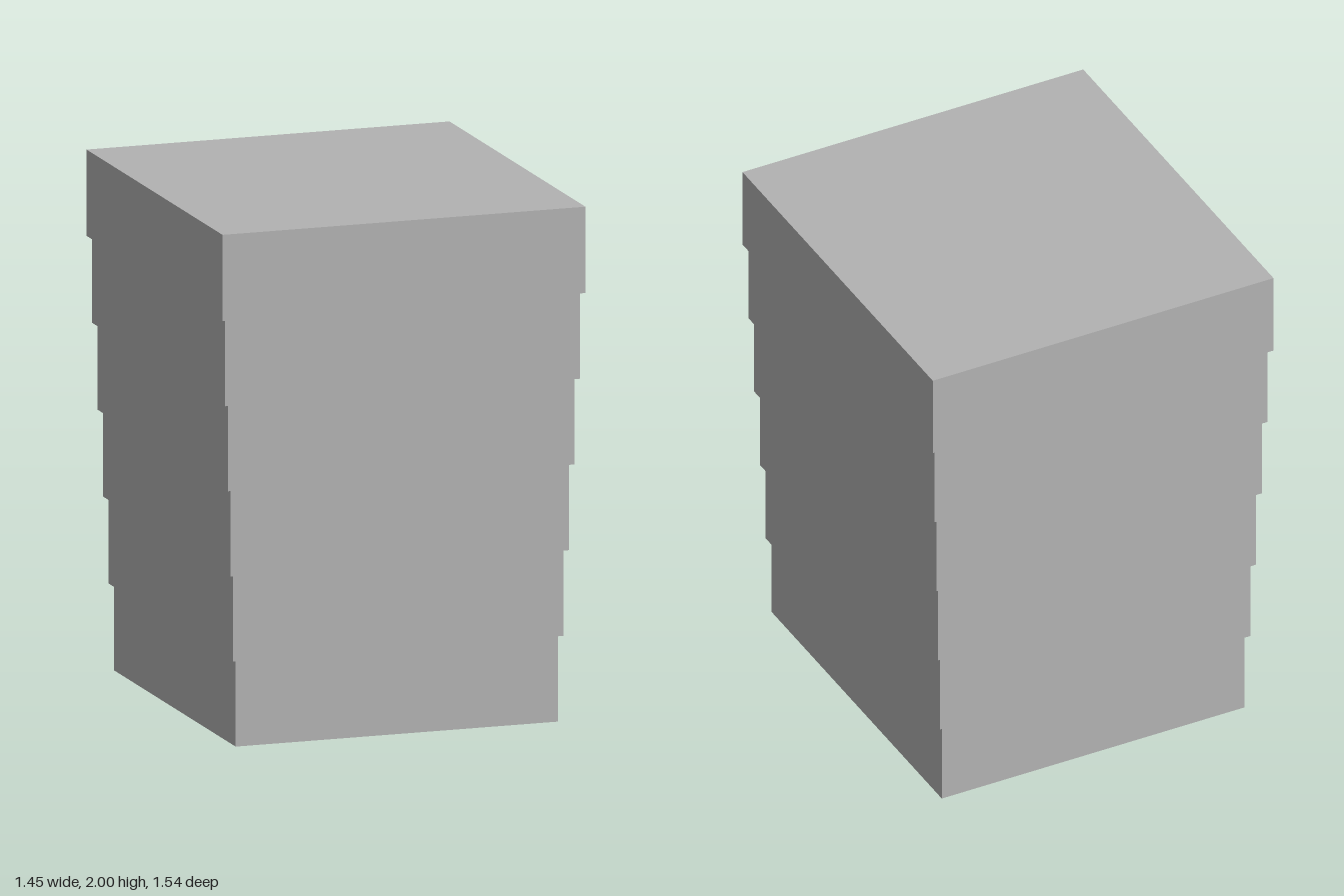
import * as THREE from 'three';

// Stack of six square-edged slabs, each a little wider than the one below
export function createModel() {
  const model = new THREE.Group();
  model.name = 'steppedBlock';
  const grey = new THREE.MeshStandardMaterial({ color: 0xb2b2b2 });
  grey.name = 'plain grey';

  const tiers = 6;
  const height = 2 / tiers;
  for (let i = 0; i < tiers; i++) {
    const grow = 0.0323 * i;
    const tier = new THREE.Mesh(new THREE.BoxGeometry(1.288 + grow, height, 1.383 + grow), grey);
    tier.name = `tier${i + 1}`;
    tier.position.y = height * (i + 0.5);
    model.add(tier);
  }
  return model;
}
